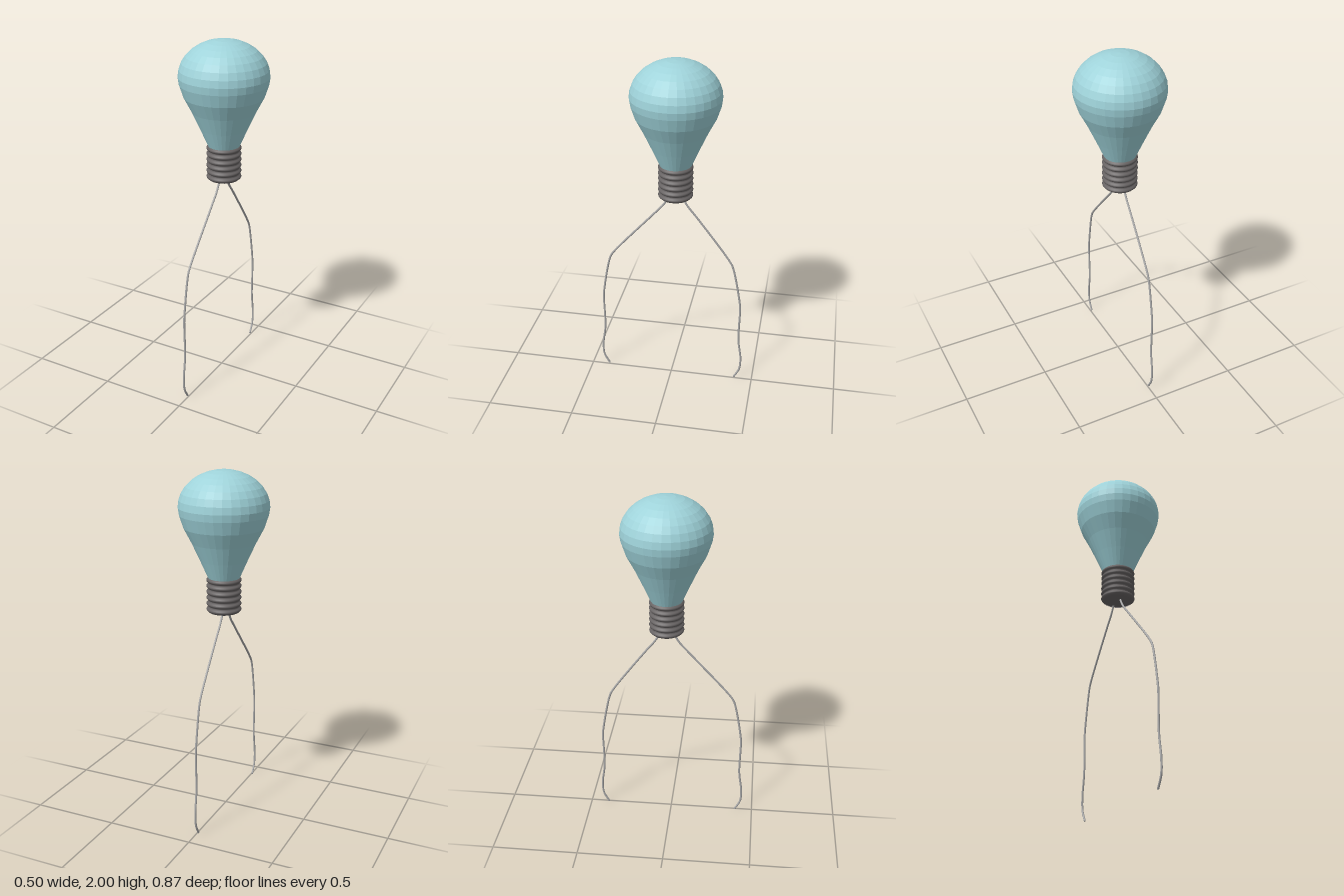
import * as THREE from 'three';

const AXIS_Z = -0.025; // the bulb sits slightly behind the origin
const SIDES = 32;

const material = (color, flatShading) =>
  new THREE.MeshStandardMaterial({ color, flatShading, side: THREE.DoubleSide });

function lathe(name, points, mat) {
  const profile = points.map(([r, y]) => new THREE.Vector2(r, y));
  const mesh = new THREE.Mesh(new THREE.LatheGeometry(profile, SIDES), mat);
  mesh.name = name;
  mesh.position.z = AXIS_Z;
  return mesh;
}

function wire(name, points, mat) {
  // rounded bends, straight runs in between
  const curve = new THREE.CatmullRomCurve3(
    points.map(([z, y]) => new THREE.Vector3(-0.007, y, z)), false, 'centripetal');
  const group = new THREE.Group();
  group.name = name;
  const tube = new THREE.Mesh(new THREE.TubeGeometry(curve, 64, 0.006, 8), mat);
  tube.name = name + 'Strand';
  // closed lower end
  const cap = new THREE.Mesh(new THREE.SphereGeometry(0.006, 8, 6), mat);
  cap.name = name + 'End';
  cap.position.copy(curve.getPoint(1));
  group.add(tube, cap);
  return group;
}

export function createModel() {
  const model = new THREE.Group();
  model.name = 'lightBulb';
  const glassMat = material(0x9fd3da, true);
  const baseMat = material(0x686464, false);
  const wireMat = material(0xaaaaaa, false);

  // Glass: tapering neck, then an elliptical dome
  const glass = [[0.088, 1.41], [0.132, 1.51], [0.177, 1.608], [0.22, 1.69], [0.243, 1.76]];
  for (let i = 0; i <= 8; i++) {
    const a = (i / 8) * Math.PI / 2;
    glass.push([0.249 * Math.cos(a), 1.8 + 0.2 * Math.sin(a)]);
  }
  model.add(lathe('glassBulb', glass, glassMat));

  // Screw base: six rounded ribs
  const ribs = 6, bottom = 1.215, pitch = 0.2 / ribs;
  const thread = [];
  for (let i = 0; i <= ribs * 6; i++) {
    const wave = Math.abs(Math.sin((i / 6) * Math.PI));
    thread.push([0.083 + 0.015 * wave, bottom + (i / 6) * pitch]);
  }
  thread.push([0, bottom + 0.2]);
  model.add(lathe('screwBase', thread, baseMat));

  // Shallow conical contact under the base
  model.add(lathe('baseTip', [[0, 1.188], [0.09, 1.224]], baseMat));

  // Two bent lead wires
  model.add(wire('frontWire', [
    [0.01, 1.22], [0.045, 1.158], [0.1, 1.095], [0.34, 0.825], [0.365, 0.785], [0.413, 0.54],
    [0.416, 0.5], [0.414, 0.283], [0.431, 0.15], [0.427, 0.07], [0.396, 0.008]], wireMat));
  model.add(wire('backWire', [
    [-0.056, 1.22], [-0.092, 1.158], [-0.142, 1.095], [-0.34, 0.825], [-0.36, 0.785], [-0.409, 0.54],
    [-0.412, 0.5], [-0.41, 0.283], [-0.427, 0.15], [-0.422, 0.07], [-0.392, 0.008]], wireMat));

  return model;
}
